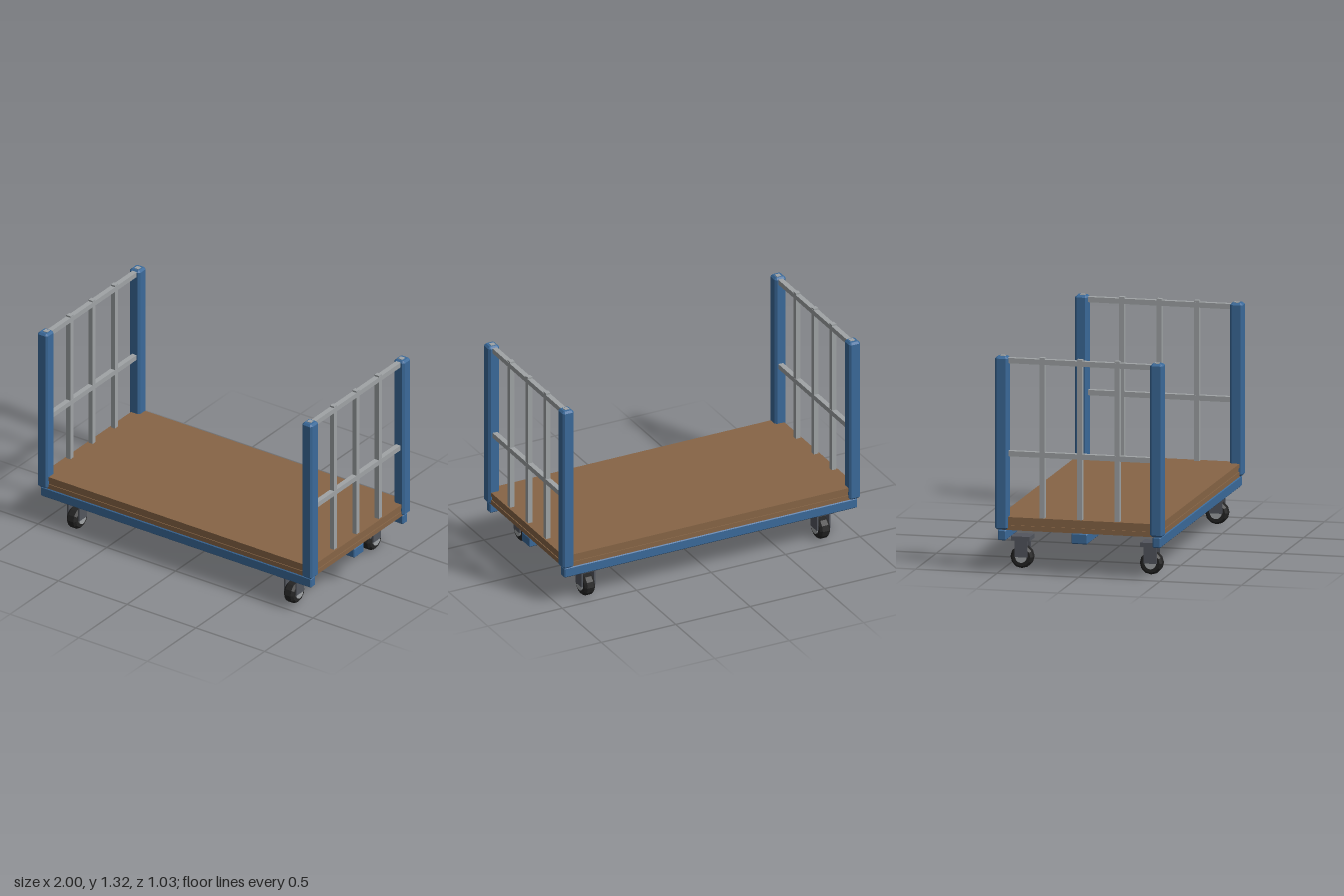
import * as THREE from 'three';

const paint = (name, color) => new THREE.MeshStandardMaterial({ name, color });

export function createModel() {
  const blue = paint('bluePaint', 0x3b6a9a);
  const wood = paint('plywood', 0x876546);
  const steel = paint('paleSteel', 0xa0a4a6);
  const dark = paint('darkSteel', 0x53565e);
  const rubber = paint('blackRubber', 0x242424);

  const model = new THREE.Group();
  model.name = 'platformCart';

  const add = (parent, name, geometry, material, x, y, z) => {
    const mesh = new THREE.Mesh(geometry, material);
    mesh.name = name;
    mesh.position.set(x, y, z);
    parent.add(mesh);
    return mesh;
  };
  const box = (parent, name, material, w, h, d, x, y, z) =>
    add(parent, name, new THREE.BoxGeometry(w, h, d), material, x, y, z);

  // Bar with all edges chamfered, centred, running along z
  const chamferedBar = (w, h, length, c) => {
    const a = w / 2, b = h / 2;
    const s = new THREE.Shape([
      [a - c, -b], [a, -b + c], [a, b - c], [a - c, b],
      [c - a, b], [-a, b - c], [-a, c - b], [c - a, -b],
    ].map(([x, y]) => new THREE.Vector2(x, y)));
    const g = new THREE.ExtrudeGeometry(s, {
      depth: length - 2 * c, bevelEnabled: true, bevelSegments: 1,
      bevelThickness: c, bevelSize: c, bevelOffset: -c,
    });
    return g.translate(0, 0, -length / 2 + c);
  };

  // Layered deck with a slightly recessed core
  box(model, 'deckBottom', wood, 1.97, 0.03, 0.995, 0, 0.281, 0);
  box(model, 'deckCore', wood, 1.96, 0.024, 0.985, 0, 0.308, 0);
  box(model, 'deckTop', wood, 1.97, 0.025, 0.995, 0, 0.3325, 0);

  // Rails under the deck
  for (const [name, width, z] of [['leftRail', 0.05, 0.475], ['centreRail', 0.1, 0], ['rightRail', 0.05, -0.475]]) {
    add(model, name, chamferedBar(width, 0.064, 1.97, 0.006).rotateY(Math.PI / 2), blue, 0, 0.233, z);
  }

  // End frames: posts, crossbars and uprights
  for (const side of [-1, 1]) {
    const frame = new THREE.Group();
    frame.name = side > 0 ? 'leftEndFrame' : 'rightEndFrame';
    model.add(frame);
    for (const end of [-1, 1]) {
      add(frame, 'cornerPost', chamferedBar(0.075, 0.078, 1.05, 0.012).rotateX(Math.PI / 2),
        blue, side * 0.9625, 0.792, end * 0.476);
      box(frame, 'postCap', steel, 0.03, 0.01, 0.03, side * 0.96, 1.315, end * 0.472);
    }
    for (const y of [0.728, 1.292]) {
      box(frame, 'crossbar', steel, 0.032, 0.032, 0.9, side * 0.96, y, 0);
    }
    for (const z of [-0.23, 0, 0.23]) {
      box(frame, 'upright', steel, 0.03, 0.98, 0.031, side * 0.96, 0.828, z);
    }
  }

  // Casters
  const tyre = new THREE.LatheGeometry([
    [0, -0.035], [0.056, -0.035], [0.069, -0.021],
    [0.069, 0.021], [0.056, 0.035], [0, 0.035],
  ].map(([r, y]) => new THREE.Vector2(r, y)), 12).toNonIndexed();
  tyre.computeVertexNormals();
  tyre.rotateZ(Math.PI / 2);
  const hub = new THREE.CylinderGeometry(0.035, 0.035, 0.086, 20).rotateZ(Math.PI / 2);
  for (const x of [-0.79, 0.79]) {
    for (const z of [-0.397, 0.397]) {
      const caster = new THREE.Group();
      caster.name = 'caster';
      caster.position.set(x, 0, z);
      model.add(caster);
      box(caster, 'mountingPlate', dark, 0.112, 0.026, 0.116, 0, 0.188, 0);
      for (const s of [-1, 1]) {
        box(caster, 'forkArm', dark, 0.01, 0.105, 0.078, s * 0.041, 0.126, 0);
      }
      add(caster, 'wheel', tyre, rubber, 0, 0.073, 0);
      add(caster, 'hub', hub, steel, 0, 0.074, 0);
    }
  }
  return model;
}
